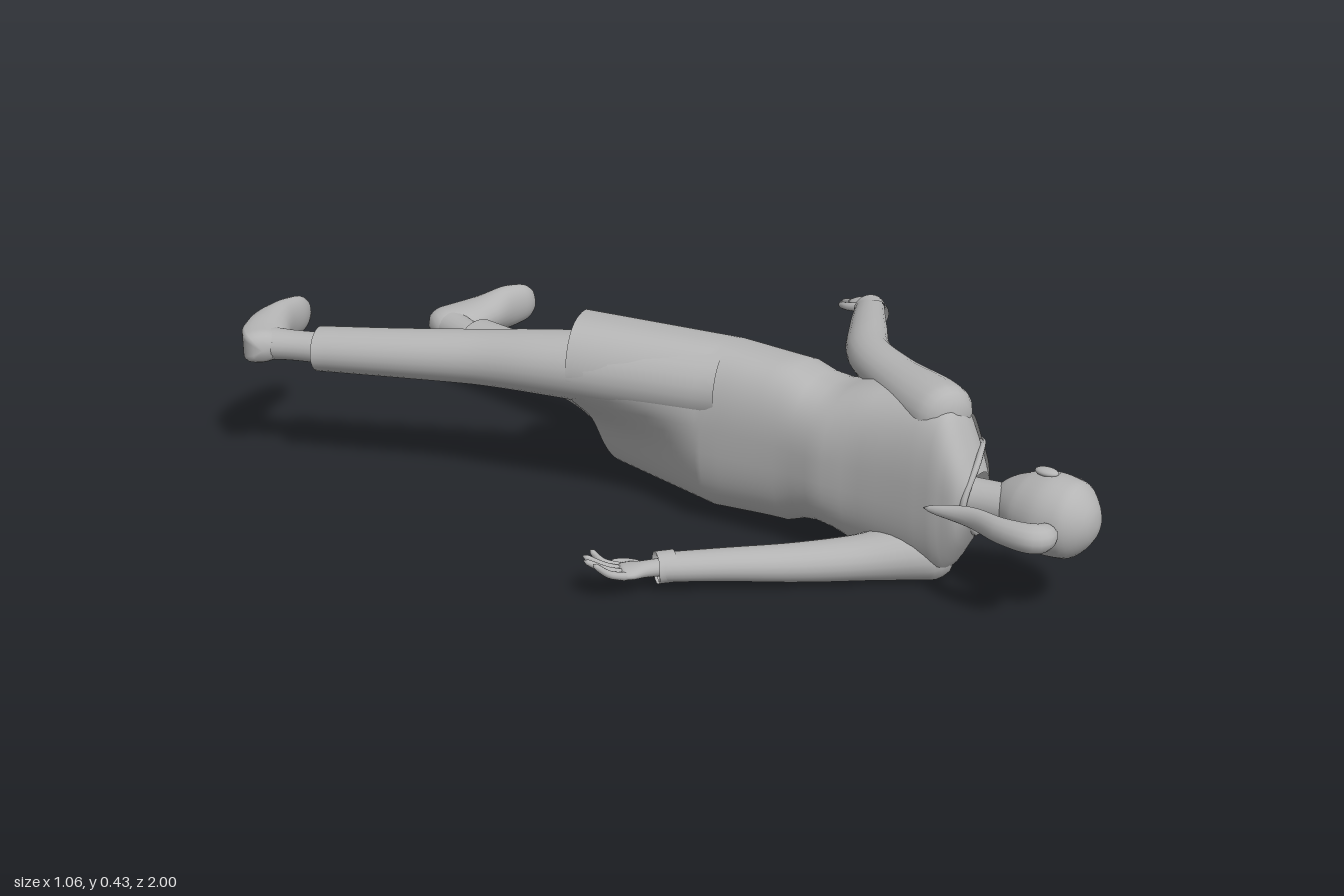
import * as THREE from 'three';
import { mergeVertices } from 'three/addons/utils/BufferGeometryUtils.js';

const V = (x, y, z) => new THREE.Vector3(x, y, z);
const curve = (pts) => new THREE.CatmullRomCurve3(pts);
const grey = new THREE.MeshStandardMaterial({ color: 0xb4b4b4, side: THREE.DoubleSide });
grey.name = 'plain grey';

// Smooth surface from a function f(u, v), u and v in 0..1
function grid(f, nu, nv) {
  const pos = [], idx = [];
  for (let i = 0; i <= nu; i++) for (let j = 0; j <= nv; j++) pos.push(...f(i / nu, j / nv).toArray());
  for (let i = 0; i < nu; i++) for (let j = 0; j < nv; j++) {
    const a = i * (nv + 1) + j, b = a + nv + 1;
    idx.push(a, a + 1, b, a + 1, b + 1, b);
  }
  let g = new THREE.BufferGeometry();
  g.setAttribute('position', new THREE.Float32BufferAttribute(pos, 3));
  g.setIndex(idx);
  g = mergeVertices(g, 1e-5);
  g.computeVertexNormals();
  return g;
}

// Tapered tube through rows [x, y, z, in-plane radius, y radius]; ends can be rounded, one side flattened
function limbGeometry(rows, { n = 20, sides = 20, start = 0, end = 0, flat = 1 } = {}) {
  const path = curve(rows.map((r) => V(r[0], r[1], r[2])));
  const radii = curve(rows.map((r) => V(r[3], r[4], 0)));
  const dome = (u, e) => (u < e ? Math.sqrt(Math.max(0, 1 - (1 - u / e) ** 2)) : 1);
  return grid((u, v) => {
    const c = path.getPoint(u), t = path.getTangent(u), r = radii.getPoint(u);
    const side = V(0, 1, 0).cross(t).normalize(), up = t.clone().cross(side);
    const k = dome(u, start) * dome(1 - u, end), a = (v % 1) * Math.PI * 2;
    return c.addScaledVector(side, k * r.x * Math.min(flat, Math.cos(a)))
      .addScaledVector(up, k * r.y * Math.sin(a));
  }, n, sides);
}

// Coat surface: v 0..1 from collar to hip, 1..2 from hip to hem; angle 0 is the front opening
const coatRows = [
  [-0.035, 0.74, 0.05, 0.06], [-0.03, 0.715, 0.07, 0.11], [-0.015, 0.67, 0.09, 0.18],
  [0.005, 0.61, 0.108, 0.195], [0.02, 0.45, 0.12, 0.18], [0.02, 0.28, 0.12, 0.18], [0.01, 0.1, 0.122, 0.19],
];
const coatAxis = curve(coatRows.map((r) => V(r[0], 0, r[1])));
const coatSize = curve(coatRows.map((r) => V(r[2], r[3], 0)));
const soft = (s) => Math.sign(s) * Math.abs(s) ** 0.8;
function coatPoint(v, angle, lift = 0) {
  const u = Math.min(v, 1), k = Math.max(0, v - 1);
  const c = coatAxis.getPoint(u), r = coatSize.getPoint(u);
  const lx = (r.x + 0.004 * k + lift) * soft(Math.cos(angle));
  const dy = (r.y + 0.02 * k + lift) * soft(Math.sin(angle));
  const side = Math.tanh(dy * 14);
  const hem = -0.22 - 0.015 * side - 0.36 * side * lx;
  return V(c.x + lx - 0.1 * k * side, 0.215 + dy, c.z + k * (hem - 0.1));
}
const mix = THREE.MathUtils.lerp;

export function createModel() {
  const model = new THREE.Group();
  model.name = 'walkingPersonInCoat';
  const add = (name, geometry, parent = model) => {
    const m = new THREE.Mesh(geometry, grey);
    m.name = name;
    parent.add(m);
    return m;
  };
  const limb = (name, rows, options, parent) => add(name, limbGeometry(rows, options), parent);

  // Coat with front opening and swinging hem
  add('coat', grid((u, w) => {
    const v = u * 2, gap = 0.1 * Math.min(1, Math.max(0, v - 0.95) * 4);
    return coatPoint(v, mix(2 * Math.PI - gap, gap, w));
  }, 48, 64));
  const patch = (name, v0, v1, a0, a1, lift = 0.007) => add(name,
    grid((u, w) => {
      const edge = u === 0 || u === 1 || w === 0 || w === 1;
      return coatPoint(mix(v0, v1, u), mix(a1, a0, w), edge ? 0 : lift);
    }, 10, 10));
  patch('chestPocket', 0.57, 0.67, 0.27, 0.65);
  patch('frontBand', 0.42, 1.0, -0.04, 0.16, 0.004);
  for (const s of [-1, 1]) patch('hipPocket', 0.98, 1.3, s > 0 ? 0.4 : -0.9, s > 0 ? 0.9 : -0.4);

  // Lapels folded outwards from the collar
  for (const s of [-1, 1]) {
    add('lapel', grid((u, w) => coatPoint(mix(0.12, 0.56, u),
      s * (0.06 + w * 0.75 * Math.sin(Math.PI * (0.25 + 0.75 * u))), 0.009), 12, 8));
  }

  // Buttons and pens
  for (const v of [0.56, 0.67, 0.79, 0.92]) {
    const b = add('button', new THREE.CylinderGeometry(0.008, 0.008, 0.008, 12));
    b.position.copy(coatPoint(v, 0.09, 0.006));
    b.rotation.z = Math.PI / 2;
  }
  for (const a of [0.36, 0.46]) {
    const p = add('pen', new THREE.CylinderGeometry(0.005, 0.005, 0.07, 8));
    p.position.copy(coatPoint(0.565, a, 0.008));
    p.rotation.x = Math.PI / 2;
  }

  // Listening tube round the neck
  add('neckTube', new THREE.TubeGeometry(curve([
    V(0.125, 0.25, 0.6), V(0.09, 0.29, 0.67), V(-0.02, 0.305, 0.73), V(-0.09, 0.22, 0.735),
    V(-0.02, 0.135, 0.73), V(0.09, 0.14, 0.67), V(0.122, 0.165, 0.57),
  ]), 48, 0.007, 8));
  const disc = add('chestDisc', new THREE.CylinderGeometry(0.016, 0.018, 0.016, 20));
  disc.position.set(0.133, 0.25, 0.6);
  disc.rotation.z = -Math.PI / 2;
  const badge = add('ovalLoop', new THREE.SphereGeometry(1, 24, 12));
  badge.scale.set(0.012, 0.032, 0.066);
  badge.position.set(0.118, 0.145, 0.61);
  badge.rotation.set(0, -0.25, -0.3);

  // Neck and head
  limb('neck', [[-0.05, 0.22, 0.66, 0.05, 0.052], [-0.035, 0.22, 0.74, 0.043, 0.043], [-0.025, 0.22, 0.83, 0.045, 0.045]]);
  limb('head', [
    [0.02, 0.222, 0.782, 0.038, 0.034], [0.003, 0.222, 0.81, 0.064, 0.058], [-0.008, 0.222, 0.85, 0.08, 0.076],
    [-0.014, 0.222, 0.9, 0.087, 0.085], [-0.017, 0.222, 0.95, 0.08, 0.08], [-0.018, 0.222, 1.0, 0.06, 0.06],
  ], { n: 32, sides: 32, start: 0.12, end: 0.24 });
  const ball = (name, x, y, z, sx, sy, sz) => {
    const m = add(name, new THREE.SphereGeometry(1, 16, 12));
    m.position.set(x, y, z);
    m.scale.set(sx, sy, sz);
    return m;
  };
  ball('nose', 0.075, 0.222, 0.867, 0.016, 0.01, 0.016);
  ball('mouth', 0.068, 0.222, 0.835, 0.008, 0.018, 0.006);
  for (const s of [-1, 1]) {
    ball('eye', 0.06, 0.222 + s * 0.036, 0.9, 0.008, 0.014, 0.007);
    ball('eyebrow', 0.061, 0.222 + s * 0.037, 0.918, 0.008, 0.018, 0.004);
    ball('ear', -0.012, 0.222 + s * 0.086, 0.878, 0.016, 0.009, 0.026);
  }

  // Ponytail
  limb('ponytail', [
    [-0.09, 0.222, 0.93, 0.022, 0.02], [-0.135, 0.222, 0.925, 0.033, 0.03], [-0.145, 0.222, 0.86, 0.024, 0.028],
    [-0.125, 0.222, 0.77, 0.016, 0.022], [-0.14, 0.222, 0.67, 0.005, 0.006],
  ], { n: 28, sides: 14, start: 0.08, end: 0.08 });

  // Arms: sleeve, cuff, palm, fingers and thumb
  function arm(name, sleeve, dir, drop, curl, thumbSide) {
    const g = new THREE.Group();
    g.name = name;
    model.add(g);
    limb('sleeve', sleeve, { n: 32, start: 0.12 }, g);
    const w = V(...sleeve[sleeve.length - 1].slice(0, 3));
    const d = V(dir[0], 0, dir[1]).normalize(), across = V(-d.z, 0, d.x);
    const at = (along, off, y) => w.clone().addScaledVector(d, along).addScaledVector(across, off).add(V(0, y, 0)).toArray();
    limb('cuff', [[...at(-0.035, 0, 0), 0.036, 0.034], [...at(0.004, 0, 0), 0.036, 0.034]], { n: 4 }, g);
    limb('palm', [[...at(-0.03, 0, 0), 0.022, 0.019], [...at(0.025, 0, drop * 0.2), 0.022, 0.017],
      [...at(0.06, 0, drop * 0.4), 0.033, 0.014], [...at(0.085, 0, drop * 0.5), 0.03, 0.012]], { end: 0.15 }, g);
    for (let i = 0; i < 4; i++) {
      const o = (i - 1.5) * 0.016, len = [0.145, 0.16, 0.157, 0.135][i];
      limb('finger', [[...at(0.075, o, drop * 0.5), 0.008, 0.009], [...at(0.11, o * 1.25, drop * 0.75 + curl * 0.3), 0.008, 0.008],
        [...at(len, o * 1.4, drop + curl), 0.006, 0.006]], { n: 12, sides: 10, end: 0.15 }, g);
    }
    limb('thumb', [[...at(0.03, thumbSide * 0.015, drop * 0.3), 0.011, 0.011], [...at(0.06, thumbSide * 0.04, drop * 0.6), 0.009, 0.009],
      [...at(0.09, thumbSide * 0.048, drop * 0.9), 0.007, 0.007]], { n: 12, sides: 10, end: 0.15 }, g);
  }
  arm('forwardArm', [
    [-0.03, 0.372, 0.68, 0.06, 0.062], [0.01, 0.375, 0.6, 0.072, 0.062], [0.07, 0.385, 0.48, 0.058, 0.048],
    [0.15, 0.388, 0.365, 0.05, 0.043], [0.28, 0.385, 0.28, 0.043, 0.036], [0.41, 0.378, 0.205, 0.034, 0.03],
  ], [0.1, -0.1], -0.02, -0.02, -1);
  arm('backwardArm', [
    [0.0, 0.068, 0.68, 0.06, 0.06], [-0.04, 0.065, 0.6, 0.07, 0.06], [-0.12, 0.055, 0.51, 0.055, 0.047],
    [-0.21, 0.052, 0.41, 0.048, 0.04], [-0.31, 0.056, 0.3, 0.04, 0.034], [-0.4, 0.057, 0.2, 0.034, 0.03],
  ], [-0.12, -0.1], 0.0, 0.042, 1);

  // Legs: trousers, ankle and shoe with flat sole
  function leg(name, trouser, ankle, shoe) {
    const g = new THREE.Group();
    g.name = name;
    model.add(g);
    limb('trouserLeg', trouser, { n: 28, sides: 24 }, g);
    limb('ankle', ankle, { n: 8 }, g);
    limb('shoe', shoe, { n: 32, sides: 24, start: 0.14, end: 0.12, flat: 0.6 }, g);
  }
  leg('forwardLeg', [
    [0.03, 0.12, 0.1, 0.1, 0.09], [0.08, 0.115, -0.15, 0.09, 0.082], [0.135, 0.12, -0.3, 0.075, 0.068],
    [0.18, 0.125, -0.43, 0.064, 0.058], [0.21, 0.13, -0.62, 0.062, 0.05], [0.236, 0.133, -0.815, 0.062, 0.048],
  ], [[0.236, 0.133, -0.76, 0.04, 0.036], [0.244, 0.133, -0.85, 0.037, 0.034], [0.27, 0.133, -0.93, 0.045, 0.036]],
  [[0.232, 0.133, -0.972, 0.05, 0.036], [0.305, 0.133, -0.931, 0.07, 0.041], [0.376, 0.133, -0.911, 0.056, 0.047],
    [0.448, 0.135, -0.895, 0.038, 0.055], [0.53, 0.137, -0.868, 0.024, 0.042]]);
  leg('backwardLeg', [
    [-0.01, 0.31, 0.1, 0.1, 0.09], [-0.09, 0.315, -0.15, 0.09, 0.082], [-0.145, 0.315, -0.3, 0.078, 0.072],
    [-0.195, 0.31, -0.44, 0.066, 0.062], [-0.27, 0.305, -0.61, 0.062, 0.055], [-0.345, 0.3, -0.785, 0.06, 0.05],
  ], [[-0.32, 0.3, -0.73, 0.04, 0.036], [-0.358, 0.3, -0.83, 0.038, 0.034], [-0.385, 0.3, -0.9, 0.045, 0.036]],
  [[-0.435, 0.3, -0.875, 0.05, 0.036], [-0.39, 0.3, -0.925, 0.066, 0.041], [-0.335, 0.3, -0.958, 0.056, 0.047],
    [-0.26, 0.297, -0.978, 0.034, 0.052], [-0.163, 0.295, -0.988, 0.018, 0.04]]);

  // Trouser seat joining the legs under the coat
  limb('trouserSeat', [[0.01, 0.215, 0.2, 0.1, 0.16], [0.01, 0.215, 0.05, 0.1, 0.17], [0.0, 0.215, -0.1, 0.09, 0.14]],
    { start: 0.1, end: 0.3 });
  return model;
}
